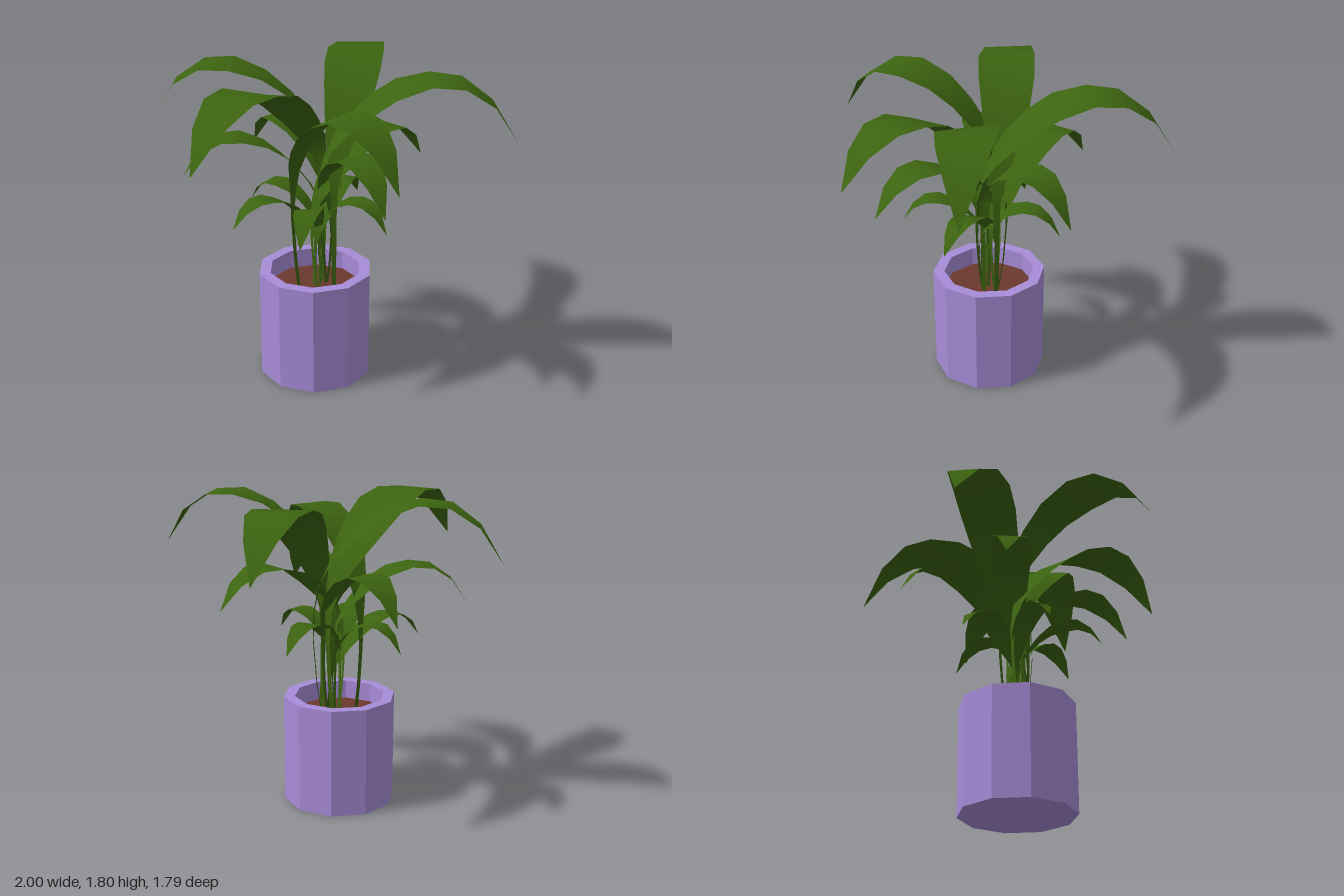
import * as THREE from 'three';

const leafMaterial = new THREE.MeshStandardMaterial({ color: 0x3c6410, side: THREE.DoubleSide });
const potMaterial = new THREE.MeshStandardMaterial({ color: 0xa88cd8, flatShading: true });
const soilMaterial = new THREE.MeshStandardMaterial({ color: 0x6b3a2e, flatShading: true });

const SOIL_Y = 0.53;
const POT_X = -0.08, POT_Z = 0.095;

// Leaf cross-sections from stem foot to tip: [outward, height, sideways, half width, roll]
const SECTIONS = [
  [0, 0, 0, 0.013, 0],
  [-0.03, 0.2, 0, 0.013, 0],
  [-0.05, 0.45, 0, 0.014, 0],
  [-0.045, 0.62, 0, 0.022, 0],
  [-0.015, 0.77, 0.012, 0.045, 0.01],
  [0.04, 0.89, 0.03, 0.078, 0.02],
  [0.13, 1.01, 0.055, 0.112, 0.025],
  [0.24, 1.12, 0.078, 0.14, 0.025],
  [0.38, 1.22, 0.096, 0.16, 0.015],
  [0.56, 1.28, 0.115, 0.163, 0],
  [0.73, 1.27, 0.14, 0.14, 0],
  [0.89, 1.165, 0.165, 0.085, 0],
  [1.02, 0.965, 0.19, 0.002, 0],
];

// Flat ribbon leaf with its stem, pointing along +x
function leafGeometry() {
  const positions = [], indices = [];
  SECTIONS.forEach(([u, v, side, half, roll], i) => {
    positions.push(u, v + roll, side - half, u, v - roll, side + half);
    if (i > 0) {
      const a = 2 * (i - 1);
      indices.push(a, a + 1, a + 2, a + 1, a + 3, a + 2);
    }
  });
  const geometry = new THREE.BufferGeometry();
  geometry.setAttribute('position', new THREE.Float32BufferAttribute(positions, 3));
  geometry.setIndex(indices);
  geometry.computeVertexNormals();
  return geometry;
}

// Three tiers of leaves: [tip x, tip z, heading in degrees, scale]
const TIERS = {
  tallLeaf: [
    [1.0, 0.32, 0, 1],
    [0.22, -0.895, -90, 1],
    [-1.0, -0.13, 180, 1],
    [-0.65, 0.885, 115, 1],
    [0.36, 0.895, 45, 0.91],
  ],
  middleLeaf: [
    [0.53, -0.29, -46, 0.71],
    [-0.47, -0.51, -139, 0.71],
    [-0.81, 0.12, 168, 0.71],
    [0.3, 0.73, 54, 0.71],
  ],
  lowLeaf: [
    [-0.14, 0.585, 90, 0.46],
    [-0.52, 0.32, 142, 0.46],
    [0.32, 0.37, 30, 0.46],
    [0.16, -0.29, -72, 0.46],
    [-0.46, -0.16, -158, 0.46],
  ],
};

export function createModel() {
  const model = new THREE.Group();
  model.name = 'pottedPlant';

  // Ten-sided pot with a thick rim
  const profile = [[0, 0], [0.33, 0], [0.33, 0.64], [0.265, 0.64], [0.265, SOIL_Y - 0.02]]
    .map(([r, y]) => new THREE.Vector2(r, y));
  const pot = new THREE.Mesh(new THREE.LatheGeometry(profile, 10), potMaterial);
  pot.name = 'pot';
  pot.position.set(POT_X, 0, POT_Z);
  model.add(pot);

  // Soil disc
  const soil = new THREE.Mesh(
    new THREE.CircleGeometry(0.266, 10, Math.PI / 2).rotateX(-Math.PI / 2), soilMaterial);
  soil.name = 'soil';
  soil.position.set(POT_X, SOIL_Y, POT_Z);
  model.add(soil);

  // Leaves, each placed so that its tip lands on the listed point
  const geometry = leafGeometry();
  const [tipOut, , tipSide] = SECTIONS[SECTIONS.length - 1];
  const up = new THREE.Vector3(0, 1, 0);
  for (const [name, leaves] of Object.entries(TIERS)) {
    const tier = new THREE.Group();
    tier.name = name + 'Tier';
    leaves.forEach(([x, z, heading, scale], i) => {
      const leaf = new THREE.Mesh(geometry, leafMaterial);
      leaf.name = name + (i + 1);
      const turn = -THREE.MathUtils.degToRad(heading);
      const reach = new THREE.Vector3(tipOut, 0, tipSide).multiplyScalar(scale).applyAxisAngle(up, turn);
      leaf.position.set(x - reach.x, SOIL_Y - 0.005, z - reach.z);
      leaf.rotation.y = turn;
      leaf.scale.setScalar(scale);
      tier.add(leaf);
    });
    model.add(tier);
  }
  return model;
}
